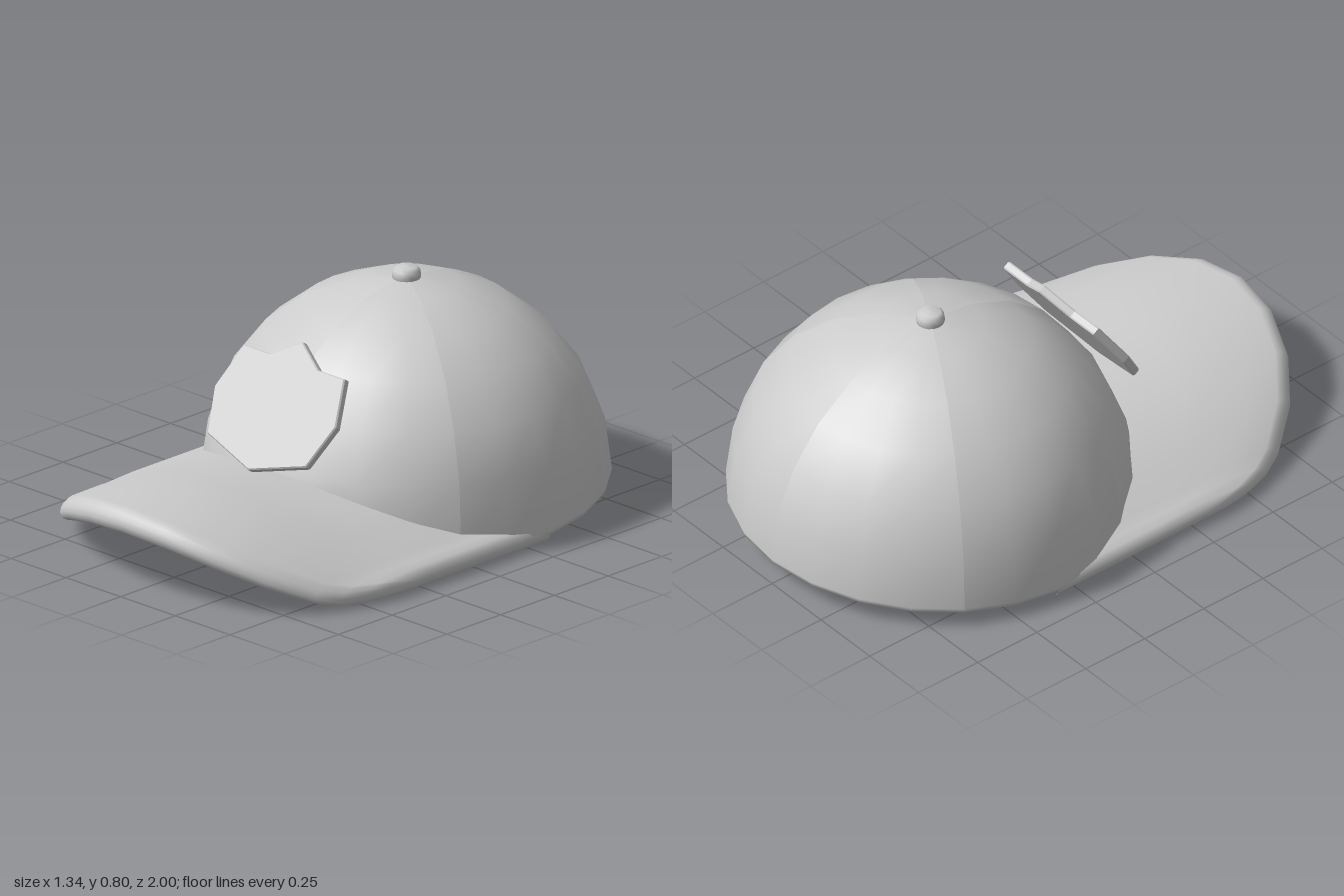
import * as THREE from 'three';
import { mergeVertices } from 'three/addons/utils/BufferGeometryUtils.js';

const R = 0.67, INNER = 0.61, CY = 0.09, CZ = -0.33; // crown sphere
const BR = 0.66, BZ = 0.34, EDGE = 0.055, HALF = 0.045; // brim outline and thickness
const rad = THREE.MathUtils.degToRad;

// Smooth surface through a grid of points, fn(i, j) -> [x, y, z]
function grid(nu, nv, fn, flip = false) {
  const pos = [], index = [];
  for (let i = 0; i <= nu; i++) for (let j = 0; j <= nv; j++) pos.push(...fn(i, j));
  for (let i = 0; i < nu; i++) for (let j = 0; j < nv; j++) {
    const a = i * (nv + 1) + j, b = a + nv + 1, c = b + 1, d = a + 1;
    index.push(...(flip ? [a, c, b, a, d, c] : [a, b, c, a, c, d]));
  }
  let g = new THREE.BufferGeometry();
  g.setAttribute('position', new THREE.Float32BufferAttribute(pos, 3));
  g.setIndex(index);
  g = mergeVertices(g, 1e-4);
  g.computeVertexNormals();
  return g;
}

// Middle height of the arched brim, dipping slightly towards the crown
function brimMid(x, z) {
  const arch = Math.min(x * x, 0.35);
  const dip = THREE.MathUtils.clamp((0.65 - z) / 0.31, 0, 1);
  return 0.25 - 0.6 * arch - 0.035 * dip * Math.max(0, 1 - arch / 0.3);
}

// Lower edge of the crown: sloping at the back, following the brim in front
function rimY(x, z) {
  return z < 0 ? -0.07 * z : Math.max(0, brimMid(x, z) - HALF);
}

// Point on the crown; a shell radius and either an elevation or a height above the rim
function crownPoint(a, shell, elevation, lift) {
  const c = Math.cos(a), s = Math.sin(a);
  let r, y;
  if (elevation !== null) {
    r = shell * Math.cos(rad(elevation));
    y = CY + shell * Math.sin(rad(elevation));
  } else {
    y = rimY(c * 0.64, CZ + s * 0.64) + lift;
    r = Math.sqrt(shell * shell - (y - CY) ** 2);
  }
  return [r * c, y, CZ + r * s];
}

export function createModel() {
  const group = new THREE.Group();
  const mat = new THREE.MeshStandardMaterial({ color: 0xcccccc });
  const thin = new THREE.MeshStandardMaterial({ color: 0xcccccc, side: THREE.DoubleSide });
  const add = (name, geometry, material = mat) => {
    const mesh = new THREE.Mesh(geometry, material);
    mesh.name = name;
    group.add(mesh);
    return mesh;
  };

  // Crown: six panels meeting at seams, rounded under at the rim
  const outerRows = [90, 75, 60, 45, 30, 15].map(e => [R, e, 0]);
  outerRows.push([R, null, 0.03], [0.662, null, 0.01], [0.64, null, 0]);
  for (let p = 0; p < 6; p++) {
    add('crownPanel' + (p + 1), grid(4, outerRows.length - 1,
      (i, j) => crownPoint(rad(30 + p * 60 + i * 15), ...outerRows[j])), thin);
  }

  // Lining: inside of the crown
  const innerRows = [[0.64, null, 0], [0.62, null, 0.01], [INNER, null, 0.03]];
  for (const e of [16, 30, 45, 60, 75, 90]) innerRows.push([INNER, e, 0]);
  add('lining', grid(24, innerRows.length - 1,
    (i, j) => crownPoint(rad(i * 15), ...innerRows[j])), thin);

  // Brim: arched plate with a rounded outer edge, top and underside in one sweep
  const half = [0.17, 0.33, 0.467, 0.57, 0.61, 0.64, 0.655, 0.66];
  const xs = [...half.map(x => -x).reverse(), 0, ...half];
  const rows = [0, 0.2, 0.4, 0.6, 0.8, 1].map(f => [f, EDGE]);
  for (const e of [0.035, 0.016, 0.005, 0]) rows.push([1, e]);
  const last = rows.length - 1;
  add('brim', grid(xs.length - 1, last * 2, (i, j) => {
    const x = xs[i], top = j <= last;
    const [f, e] = rows[top ? j : 2 * last - j];
    const zIn = CZ + Math.sqrt(Math.max(0, 0.64 ** 2 - x * x));
    const zOut = BZ + Math.sqrt(Math.max(0, BR * BR - x * x));
    const z = zIn + f * (zOut - e - zIn);
    const d = Math.max(0, BR - Math.hypot(x, Math.max(0, z - BZ)));
    const k = 1 - Math.min(1, d / EDGE);
    const h = HALF * Math.sqrt(Math.max(0, 1 - k * k));
    return [x, Math.max(0, brimMid(x, z) + (top ? h : -h)), z];
  }, true), thin);

  // Button on top
  const profile = [[0, 0.735], [0.044, 0.735], [0.048, 0.765], [0.045, 0.782], [0.034, 0.793], [0, 0.796]];
  add('button', new THREE.LatheGeometry(profile.map(p => new THREE.Vector2(...p)), 16))
    .position.z = CZ;

  // Badge: tilted plate leaning on the front of the crown
  const side = [[0.11, 0.16], [0.23, 0.16], [0.277, 0], [0.225, -0.155]];
  const outline = [[0, 0.23], ...side, [0, -0.225], ...side.map(([x, y]) => [-x, y]).reverse()];
  const badge = add('badge', new THREE.ExtrudeGeometry(
    new THREE.Shape(outline.map(p => new THREE.Vector2(...p))),
    { depth: 0.02, bevelThickness: 0.005, bevelSize: 0.004, bevelOffset: -0.004, bevelSegments: 1 }));
  badge.position.set(0, 0.455, 0.262);
  badge.rotation.x = rad(-34);

  return group;
}
